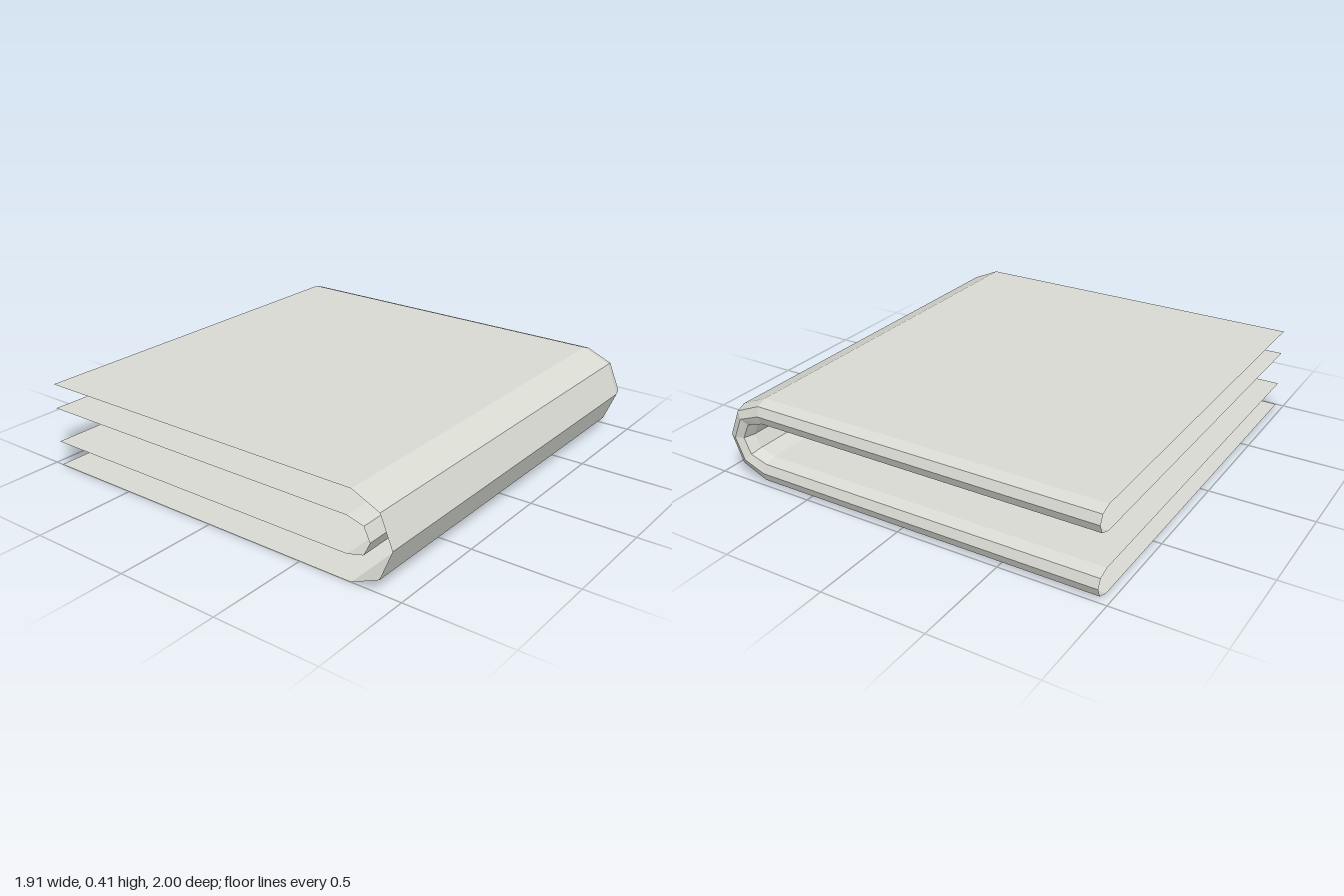
import * as THREE from 'three';

// Folded cloth: a sheet doubled over at the back, then folded in half at the left side.
export function createModel() {
  const cloth = new THREE.MeshStandardMaterial({ color: 0xd8dad2 });
  cloth.name = 'pale grey cloth';
  cloth.flatShading = true;
  cloth.side = THREE.DoubleSide;

  // U-shaped profiles (x, y) of the outer and inner layer, from top edge to bottom edge
  const outer = [[-0.96, 0.41], [0.76, 0.41], [0.895, 0.35], [0.955, 0.205],
    [0.895, 0.06], [0.76, 0], [-0.96, 0]];
  const inner = [[-0.96, 0.29], [0.74, 0.29], [0.82, 0.268], [0.85, 0.205],
    [0.82, 0.142], [0.74, 0.12], [-0.96, 0.12]];

  // Path of the back fold: z and blend from outer (0) to inner (1) layer
  const fold = [[1, 0], [-0.93, 0], [-0.983, 0.15], [-1, 0.5], [-0.983, 0.85], [-0.93, 1], [1, 1]];

  const positions = [];
  const indices = [];
  const n = outer.length;
  fold.forEach(([z, t], j) => {
    outer.forEach(([x, y], i) => {
      positions.push(
        THREE.MathUtils.lerp(x, inner[i][0], t),
        THREE.MathUtils.lerp(y, inner[i][1], t),
        z
      );
      if (i < n - 1 && j < fold.length - 1) {
        const a = j * n + i, b = a + 1, c = a + n, d = c + 1;
        indices.push(a, b, c, b, d, c);
      }
    });
  });

  const geometry = new THREE.BufferGeometry();
  geometry.setAttribute('position', new THREE.Float32BufferAttribute(positions, 3));
  geometry.setIndex(indices);
  const flat = geometry.toNonIndexed();
  flat.computeVertexNormals();

  const sheet = new THREE.Mesh(flat, cloth);
  sheet.name = 'foldedSheet';

  const group = new THREE.Group();
  group.name = 'foldedCloth';
  group.add(sheet);
  return group;
}
